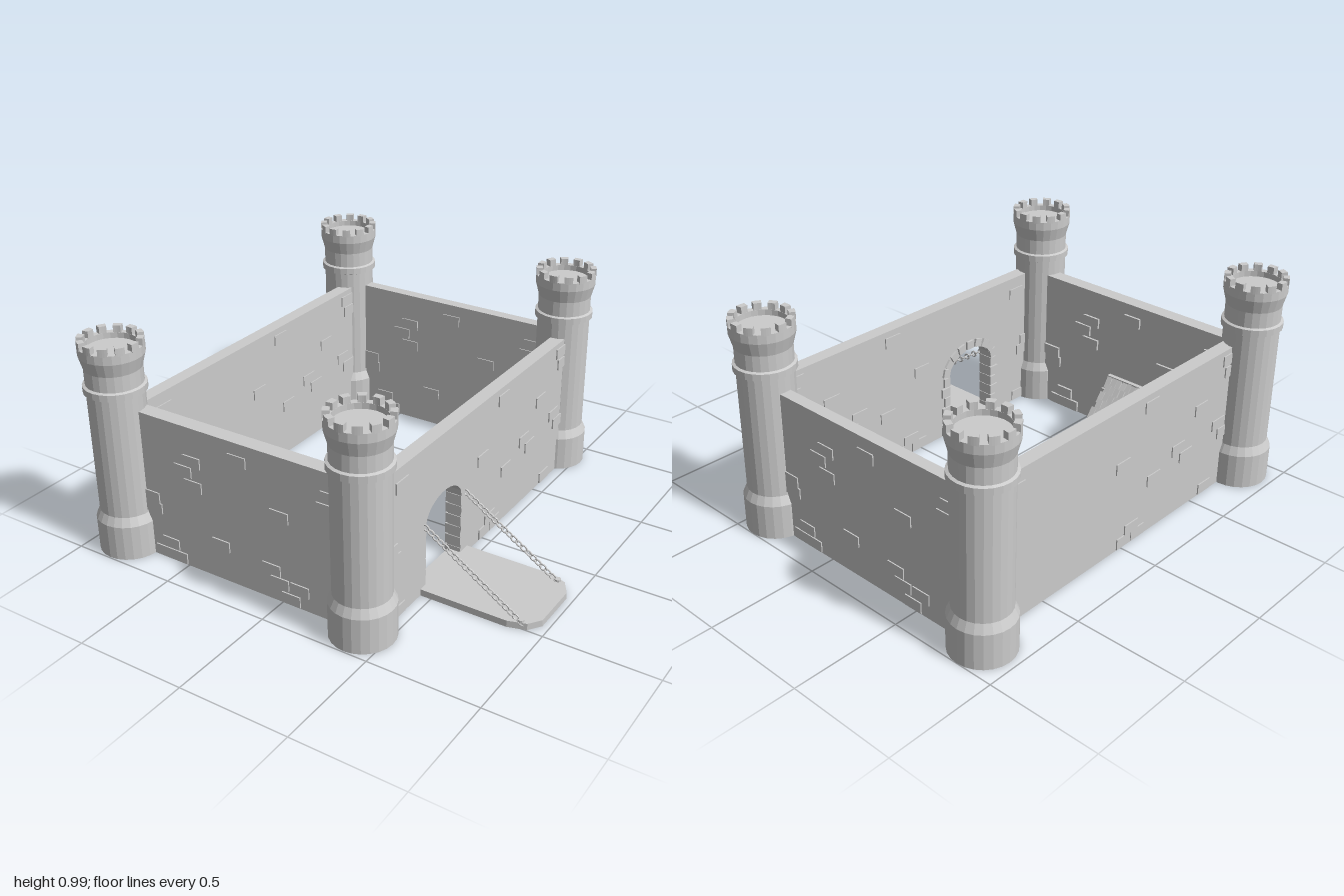
import * as THREE from 'three';

const mat = new THREE.MeshStandardMaterial({ color: 0xcccccc, flatShading: true, side: THREE.DoubleSide });
const EAST = 0.39, WEST = -0.83, FRONT = 0.855, BACK = -0.86, FLOOR = 0.01, TOP = 0.69;

let seed = 7;
const jitter = (a) => {
  seed = (seed * 16807) % 2147483647;
  return (seed / 2147483647 - 0.5) * 2 * a;
};

function add(parent, name, geometry, x = 0, y = 0, z = 0) {
  const m = new THREE.Mesh(geometry, mat);
  m.name = name;
  m.position.set(x, y, z);
  parent.add(m);
  return m;
}
const box = (parent, name, w, h, d, x, y, z) => add(parent, name, new THREE.BoxGeometry(w, h, d), x, y, z);

function group(parent, name, x = 0, y = 0, z = 0) {
  const g = new THREE.Group();
  g.name = name;
  g.position.set(x, y, z);
  parent.add(g);
  return g;
}

// Corner tower: turned shaft with a collar, a flared head and a ring of merlons
function tower(parent, x, z) {
  const t = group(parent, 'tower', x, 0, z);
  const profile = [[0, 0.01], [0.14, 0.01], [0.14, 0.17], [0.122, 0.21], [0.122, 0.76], [0.134, 0.765],
    [0.134, 0.795], [0.122, 0.80], [0.122, 0.87], [0.138, 0.93], [0.138, 0.97], [0.11, 0.97], [0.11, 0.945], [0, 0.945]];
  add(t, 'towerShaft', new THREE.LatheGeometry(profile.map(([r, y]) => new THREE.Vector2(r, y)), 24));
  const n = 12, half = Math.PI / n * 0.55;
  const arc = new THREE.Shape();
  arc.absarc(0, 0, 0.138, -half, half, false);
  arc.absarc(0, 0, 0.11, half, -half, true);
  const merlon = new THREE.ExtrudeGeometry(arc, { depth: 0.035, bevelEnabled: false, curveSegments: 2 });
  merlon.rotateX(-Math.PI / 2);
  for (let i = 0; i < n; i++) add(t, 'merlon', merlon, 0, 0.965, 0).rotation.y = i / n * Math.PI * 2;
}

// Raised stones on a wall face; each spot is [along, height]
function stones(parent, spots, axis, face, flip = 1) {
  const g = group(parent, 'wallStones');
  for (const [a, y] of spots) {
    if (axis === 'x') box(g, 'stone', 0.09, 0.05, 0.022, a * flip, y, face);
    else box(g, 'stone', 0.022, 0.05, 0.09, face, y, a * flip);
  }
}

const SHORT = [[-0.44, 0.535], [-0.49, 0.48], [-0.44, 0.42], [-0.2, 0.61], [0, 0.42], [0.23, 0.525], [0.25, 0.58],
  [-0.68, 0.3], [-0.67, 0.25], [-0.31, 0.18], [-0.59, 0.095], [-0.63, 0.04], [-0.55, 0.04], [-0.05, 0.155],
  [-0.01, 0.1], [0.09, 0.1], [0.045, 0.04]];
const LONG = [[0.665, 0.61], [-0.16, 0.635], [0.015, 0.42], [-0.53, 0.47], [-0.72, 0.64], [-0.74, 0.58],
  [0.745, 0.34], [0.72, 0.29], [-0.375, 0.335], [-0.435, 0.28], [-0.675, 0.335], [-0.72, 0.28],
  [-0.205, 0.265], [-0.065, 0.085], [-0.015, 0.04], [-0.11, 0.04], [-0.605, 0.04], [0.69, 0.04]];

function walls(parent) {
  const h = TOP - FLOOR, y = (TOP + FLOOR) / 2, cx = (EAST + WEST) / 2;
  box(parent, 'frontWall', EAST - WEST, h, 0.07, cx, y, 0.825);
  box(parent, 'backWall', EAST - WEST, h, 0.055, cx, y, -0.86);
  box(parent, 'sideWall', 0.065, h, FRONT - BACK, -0.785, y, 0);

  // Gate wall, drawn in (-z, y) and pushed out along x
  const s = new THREE.Shape();
  s.moveTo(-FRONT, FLOOR);
  s.lineTo(-0.48, FLOOR);
  s.lineTo(-0.48, 0.32);
  s.absellipse(-0.335, 0.32, 0.145, 0.1, Math.PI, 0, true);
  s.lineTo(-0.19, FLOOR);
  s.lineTo(-BACK, FLOOR);
  s.lineTo(-BACK, TOP);
  s.lineTo(-FRONT, TOP);
  const g = new THREE.ExtrudeGeometry(s, { depth: 0.065, bevelEnabled: false, curveSegments: 14 });
  g.rotateY(Math.PI / 2);
  add(parent, 'gateWall', g, 0.385, 0, 0);

  const mirrored = SHORT.map(([a, b]) => [-0.44 - a, b]);
  stones(parent, SHORT, 'x', 0.855);
  stones(parent, mirrored, 'x', 0.79);
  stones(parent, mirrored, 'x', -0.882);
  stones(parent, SHORT, 'x', -0.838);
  stones(parent, LONG, 'z', 0.445);
  stones(parent, LONG, 'z', 0.39);
  stones(parent, LONG, 'z', -0.812, -1);
  stones(parent, [...LONG.slice(0, 13), [-0.605, 0.04], [0.26, 0.17], [0.22, 0.1]], 'z', -0.758);
}

// Stones lining the gate opening
function gateArch(parent) {
  const g = group(parent, 'gateArch');
  for (const side of [-1, 1]) {
    for (let i = 0; i < 6; i++) {
      const w = i % 2 ? 0.035 : 0.05;
      box(g, 'jambStone', 0.075, 0.046, w, 0.412, 0.037 + i * 0.052, 0.335 + side * (0.142 + w / 2));
    }
  }
  for (let i = 0; i < 9; i++) {
    const a = Math.PI * (i + 0.5) / 9;
    const m = box(g, 'archStone', 0.075, 0.04, 0.042, 0.412, 0.325 + 0.117 * Math.sin(a), 0.335 + 0.162 * Math.cos(a));
    m.rotation.x = Math.PI / 2 - Math.atan2(Math.sin(a) / 0.1, Math.cos(a) / 0.145);
  }
}

// Lowered drawbridge with a chain on each side
function drawbridge(parent) {
  const g = group(parent, 'drawbridge');
  const outline = [[0.39, 0.13], [0.85, 0.13], [0.93, 0.155], [0.97, 0.22], [0.97, 0.44], [0.93, 0.495], [0.85, 0.52], [0.39, 0.52]];
  const deck = new THREE.ExtrudeGeometry(new THREE.Shape(outline.map(([x, z]) => new THREE.Vector2(x, -z))),
    { depth: 0.03, bevelEnabled: false });
  deck.rotateX(-Math.PI / 2);
  add(g, 'bridgeDeck', deck, 0, 0.01, 0);
  const n = 22, dx = 0.49, dy = -0.32, slope = Math.atan2(dy, dx);
  const link = new THREE.TorusGeometry(0.0125, 0.004, 6, 10);
  link.scale(1.3, 1, 1);
  for (const z of [0.16, 0.492]) {
    const chain = group(g, 'chain', 0.41, 0.355, z);
    chain.rotation.z = slope;
    for (let i = 0; i < n; i++) {
      add(chain, 'chainLink', link, Math.hypot(dx, dy) * i / (n - 1), 0, 0).rotation.x = (i % 2) * Math.PI / 2;
    }
    add(g, 'chainAnchor', new THREE.CylinderGeometry(0.014, 0.014, 0.02, 8), 0.9, 0.04, z);
  }
}

// Small house in the courtyard with stone corners and a shingled roof
function house(parent) {
  const g = group(parent, 'house', -0.49, 0.03, 0.6);
  const W = 0.34, D = 0.22, H = 0.24;
  const gable = new THREE.Shape([[-D / 2, 0], [D / 2, 0], [D / 2, H], [0, H + D / 2], [-D / 2, H]]
    .map(([x, y]) => new THREE.Vector2(x, y)));
  const body = new THREE.ExtrudeGeometry(gable, { depth: W, bevelEnabled: false });
  body.rotateY(Math.PI / 2);
  add(g, 'houseBody', body, -W / 2, 0, 0);
  for (const sx of [-1, 1]) for (const sz of [-1, 1]) {
    for (let i = 0; i < 6; i++) {
      const long = i % 2;
      box(g, 'cornerStone', long ? 0.06 : 0.035, 0.036, long ? 0.035 : 0.06,
        sx * (W / 2 - (long ? 0.022 : 0.01)), 0.02 + i * 0.04, sz * (D / 2 - (long ? 0.01 : 0.022)));
    }
  }
  // Door, windows and their frames
  for (const sz of [-1, 1]) {
    const z = sz * D / 2;
    for (const x of [-0.07, 0.07]) {
      box(g, 'windowSill', 0.08, 0.012, 0.024, x, 0.09, z);
      box(g, 'windowLintel', 0.08, 0.012, 0.024, x, 0.18, z);
      for (const o of [-0.033, 0, 0.033]) box(g, 'windowPost', 0.01, 0.08, 0.02, x + o, 0.135, z);
    }
  }
  box(g, 'door', 0.016, 0.16, 0.08, W / 2, 0.08, 0);
  box(g, 'doorLintel', 0.024, 0.018, 0.1, W / 2, 0.17, 0);

  // Each slope is a thin board under overlapping rows of shingles
  for (const turn of [0, Math.PI]) {
    const roof = group(g, 'roofSlope', 0, 0.365, 0);
    roof.rotation.set(Math.PI / 4, turn, 0, 'YXZ');
    box(roof, 'roofBoard', 0.44, 0.012, 0.195, 0, -0.006, 0.0975);
    const rows = 5, cols = 16;
    for (let r = 0; r < rows; r++) for (let c = 0; c < cols; c++) {
      const x = -0.22 + (c + 0.5) * 0.44 / cols + (r % 2 ? 0.007 : -0.005);
      const m = box(roof, 'shingle', 0.025 + jitter(0.003), 0.008, 0.056, x + jitter(0.002), 0.008, 0.026 + r * 0.04 + jitter(0.004));
      m.rotation.set(0.12 + jitter(0.05), jitter(0.08), 0);
    }
  }
  box(g, 'roofRidge', 0.46, 0.016, 0.02, 0, 0.372, 0);
}

export function createModel() {
  const castle = new THREE.Group();
  castle.name = 'castle';
  for (const x of [WEST, EAST]) for (const z of [BACK, FRONT]) tower(castle, x, z);
  walls(castle);
  gateArch(castle);
  drawbridge(castle);
  house(castle);
  return castle;
}
